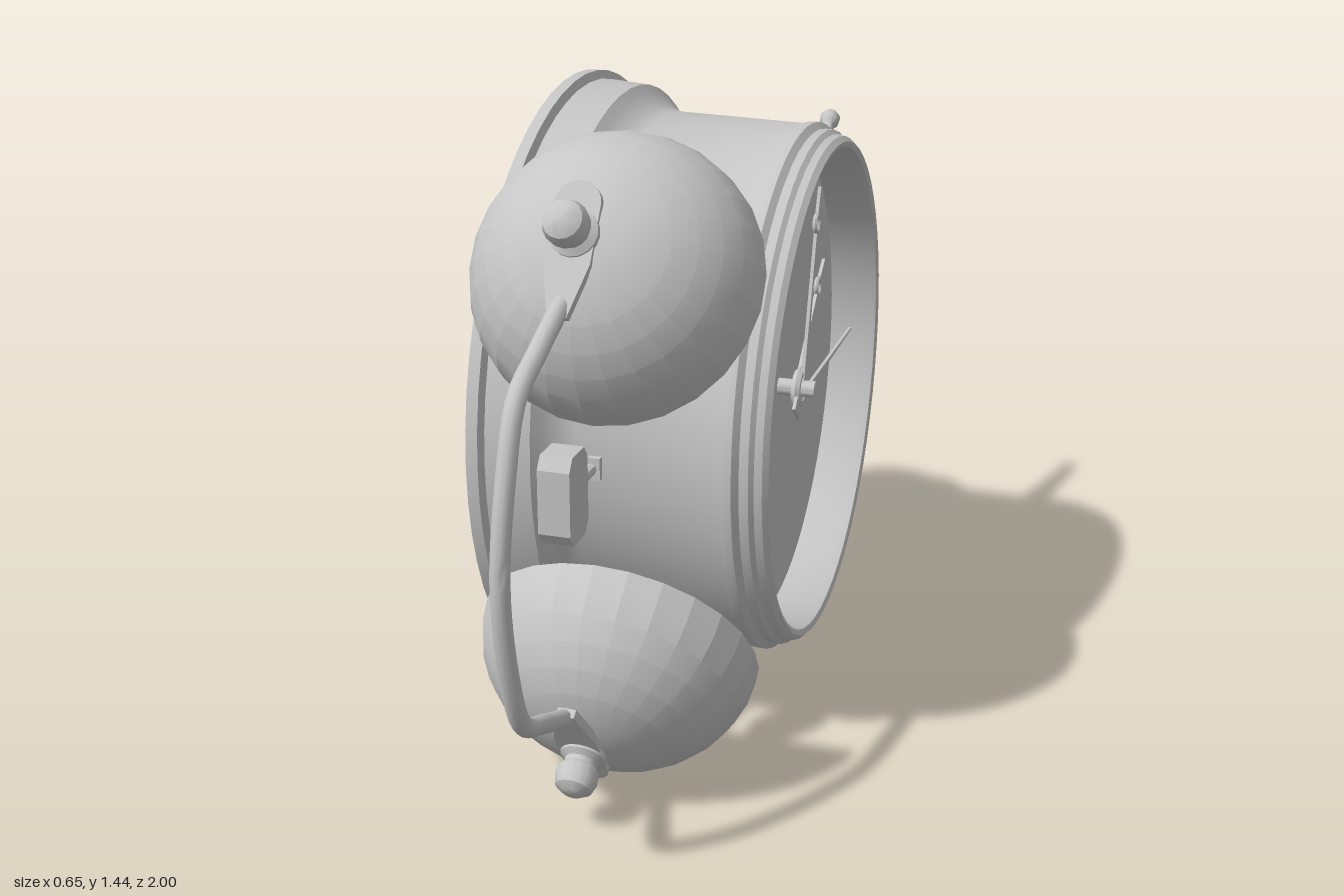
import * as THREE from 'three';
import { toCreasedNormals } from 'three/addons/utils/BufferGeometryUtils.js';

const CY = 0.7225, CZ = -0.275; // centre of the clock drum, whose axis runs along x

export function createModel() {
  const model = new THREE.Group();
  model.name = 'alarmClock';
  const grey = new THREE.MeshStandardMaterial({ color: 0xc6c6c6, side: THREE.DoubleSide });
  grey.name = 'plain grey';

  const add = (parent, name, geo, x = 0, y = 0, z = 0, crease = 0.6) => {
    const m = new THREE.Mesh(toCreasedNormals(geo, crease), grey);
    m.name = name;
    m.position.set(x, y, z);
    parent.add(m);
    return m;
  };
  const group = (name, x, y, z) => {
    const g = new THREE.Group();
    g.name = name;
    g.position.set(x, y, z);
    model.add(g);
    return g;
  };
  const lathe = (pts, n) => new THREE.LatheGeometry(pts.map(p => new THREE.Vector2(...p)), n);
  const shapeOf = pts => new THREE.Shape(pts.map(p => new THREE.Vector2(...p)));
  const plate = (shape, depth) =>
    new THREE.ExtrudeGeometry(shape, { depth, bevelEnabled: false, curveSegments: 10 });

  // Drum: recessed back, wide rear rim, stepped wall, beaded bezel, recessed dial
  const drum = add(model, 'drum', lathe([
    [0, -0.175], [0.665, -0.175], [0.69, -0.3], [0.705, -0.31], [0.722, -0.305], [0.722, -0.278],
    [0.702, -0.27], [0.693, -0.17], [0.675, -0.155], [0.645, -0.125], [0.634, -0.09], [0.624, 0.22],
    [0.629, 0.235], [0.629, 0.255], [0.614, 0.268], [0.613, 0.288], [0.603, 0.298], [0.6, 0.315],
    [0.588, 0.327], [0.575, 0.322], [0.57, 0.3], [0.566, 0.205], [0, 0.205]], 56), 0, CY, CZ);
  drum.rotation.z = -Math.PI / 2;

  // Bells, with posts, bolts and the flat ends of the handle
  const bellProfile = [];
  for (let i = 0; i <= 8; i++) {
    const a = i / 8 * Math.PI / 2;
    bellProfile.push([0.299 * Math.sin(a), 0.268 * Math.cos(a)]);
  }
  for (let i = 8; i >= 0; i--) {
    const a = i / 8 * Math.PI / 2;
    bellProfile.push([0.311 * Math.sin(a), 0.28 * Math.cos(a)]);
  }
  const tabShape = new THREE.Shape();
  tabShape.moveTo(-0.02, 0.17);
  tabShape.lineTo(-0.048, 0.06);
  tabShape.lineTo(-0.048, -0.06);
  tabShape.absarc(0, -0.06, 0.048, Math.PI, Math.PI * 2, false);
  tabShape.lineTo(0.048, 0.06);
  tabShape.lineTo(0.02, 0.17);

  for (const s of [1, -1]) {
    const g = group(s > 0 ? 'upperBell' : 'lowerBell', 0, CY, CZ);
    g.rotation.x = Math.PI / 2 - s * 0.588;
    add(g, 'bellDome', lathe(bellProfile, 26), 0.008, 0.745, 0, 0.22);
    add(g, 'bellPost', new THREE.CylinderGeometry(0.026, 0.026, 0.45, 12), 0, 0.825, 0);
    add(g, 'bellBolt', lathe([[0, 1.0], [0.05, 1.0], [0.05, 1.035], [0.036, 1.045], [0.036, 1.055],
      [0.045, 1.067], [0.047, 1.087], [0.04, 1.108], [0.022, 1.12], [0, 1.123]], 16));
    const tab = add(g, 'handleEnd', plate(tabShape, 0.02), -0.005, s > 0 ? 1.03 : 1.01, 0);
    tab.rotation.x = s * Math.PI / 2;
  }

  // Carrying handle
  const side = [[0.45, 0.64], [0.39, 0.78], [0.335, 0.89], [0.22, 0.945]];
  const path = [
    ...side.map(([h, z]) => new THREE.Vector3(-0.005, CY + h, z)),
    new THREE.Vector3(-0.01, CY, 0.981),
    ...side.slice().reverse().map(([h, z]) => new THREE.Vector3(-0.01, CY - h, z)),
  ];
  add(model, 'handle', new THREE.TubeGeometry(new THREE.CatmullRomCurve3(path), 40, 0.02, 10), 0, 0, 0, 1);

  // Hammer between the bells
  const hammerShape = shapeOf([[-0.055, -0.07], [-0.035, -0.097], [0.035, -0.097], [0.055, -0.07],
    [0.055, 0.07], [0.035, 0.097], [-0.035, 0.097], [-0.055, 0.07]]);
  const hammer = add(model, 'hammerHead', plate(hammerShape, 0.07), -0.086, 0.727, 0.537);
  hammer.rotation.y = Math.PI / 2;
  const stem = add(model, 'hammerStem', new THREE.CylinderGeometry(0.013, 0.013, 0.18, 8), -0.045, 0.725, 0.41);
  stem.rotation.x = Math.PI / 2;
  add(model, 'hammerGuide', new THREE.BoxGeometry(0.04, 0.05, 0.015), -0.045, 0.725, 0.375);

  // Turned legs
  const legProfile = [[0, 0.6], [0.036, 0.6], [0.034, 0.665], [0.028, 0.715], [0.02, 0.725], [0.027, 0.74],
    [0.026, 0.765], [0.018, 0.775], [0.025, 0.79], [0.023, 0.815], [0.016, 0.825], [0.016, 0.842],
    [0.025, 0.855], [0.026, 0.875], [0.016, 0.888], [0, 0.89]];
  for (const s of [1, -1]) {
    const g = group(s > 0 ? 'upperLeg' : 'lowerLeg', 0.155, CY, CZ);
    g.rotation.x = Math.PI / 2 - (Math.PI - 0.628) * s;
    add(g, 'leg', lathe(legProfile, 14));
  }

  // Clock hands, drawn flat and turned to face +x
  const dial = group('hands', 0.205, 0.724, -0.262);
  dial.rotation.y = Math.PI / 2;
  const hand = (name, angle, length, ringAt, width, depth) => {
    const g = new THREE.Group();
    g.name = name;
    g.rotation.z = angle;
    g.position.z = depth;
    dial.add(g);
    const bladeEnd = ringAt ? ringAt - 0.02 : length;
    add(g, 'blade', plate(shapeOf([[0, -width], [bladeEnd, -width * 0.4], [bladeEnd, width * 0.4], [0, width]]), 0.008));
    if (!ringAt) return;
    add(g, 'ring', new THREE.TorusGeometry(0.02, 0.006, 6, 16), ringAt, 0, 0.004);
    add(g, 'tip', plate(shapeOf([[ringAt + 0.02, -0.008], [length, 0], [ringAt + 0.02, 0.008]]), 0.008));
  };
  hand('minuteHand', 1.313, 0.48, 0.393, 0.013, 0.055);
  hand('hourHand', 0.776, 0.36, 0.28, 0.013, 0.04);
  hand('secondHand', 0.01, 0.49, 0, 0.007, 0.065);
  const hub = add(dial, 'hub', new THREE.CylinderGeometry(0.02, 0.02, 0.09, 14), 0, 0, 0.045);
  hub.rotation.x = Math.PI / 2;
  add(dial, 'hubRing', new THREE.TorusGeometry(0.037, 0.012, 6, 18), 0, 0, 0.05);
  add(dial, 'handTail', plate(shapeOf([[-0.02, 0.02], [-0.07, -0.03], [-0.045, -0.05], [-0.02, -0.075], [0.01, -0.02]]), 0.008), 0, 0, 0.05);

  // Winding keys on the back: a shaft joined by a web to two loops, given as [z, y] from the shaft
  const windingKey = (name, x, y, z, loops) => {
    const g = group(name, x, y, z);
    const shaft = add(g, 'shaft', new THREE.CylinderGeometry(0.032, 0.032, -0.17 - x, 12), (-0.17 - x) / 2, 0, 0);
    shaft.rotation.z = Math.PI / 2;
    const web = add(g, 'web', plate(shapeOf([[0, 0], ...loops.map(([lz, ly]) => [lz * 0.8, ly * 0.8])]), 0.015), 0.01);
    web.rotation.y = -Math.PI / 2;
    for (const [lz, ly] of loops) {
      const loop = add(g, 'loop', new THREE.TorusGeometry(0.034, 0.013, 8, 18), 0, ly, lz);
      loop.rotation.y = Math.PI / 2;
    }
  };
  windingKey('alarmKey', -0.295, 1.01, -0.3, [[-0.11, 0.08], [-0.11, -0.075]]);
  windingKey('timeKey', -0.315, 0.52, -0.265, [[-0.14, 0.03], [0.02, -0.12]]);

  // Setting knobs on the back
  for (const [y, z] of [[0.7, -0.03], [0.71, -0.265]]) {
    const knob = add(model, 'settingKnob', lathe([[0, -0.05], [0.03, -0.05], [0.036, -0.04], [0.036, 0.03],
      [0.02, 0.035], [0.02, 0.05], [0, 0.05]], 14), -0.225, y, z);
    knob.rotation.z = -Math.PI / 2;
  }

  // Curved regulator strip on the back
  const arc = new THREE.Shape();
  arc.absarc(0, 0, 0.17, -0.5, 0.5, false);
  arc.absarc(0, 0, 0.14, 0.5, -0.5, true);
  const strip = add(model, 'regulatorStrip', plate(arc, 0.009), -0.175, 0.715, -0.7);
  strip.rotation.y = -Math.PI / 2;

  return model;
}
